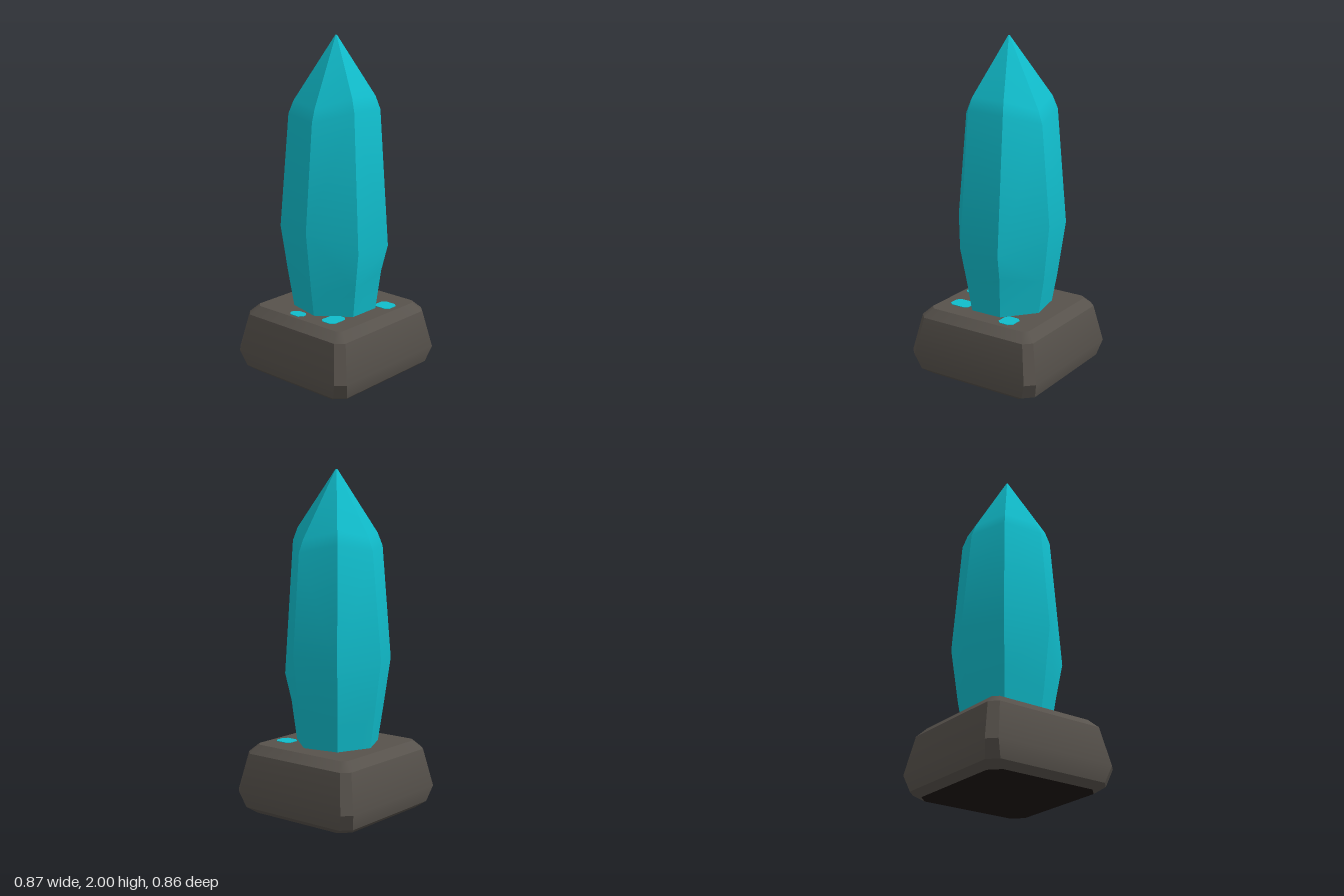
import * as THREE from 'three';
import { toCreasedNormals } from 'three/addons/utils/BufferGeometryUtils.js';

const teal = new THREE.MeshStandardMaterial({ name: 'crystal teal', color: 0x10bccb });
const stone = new THREE.MeshStandardMaterial({ name: 'dark stone', color: 0x57524c });
const shade = new THREE.MeshStandardMaterial({ name: 'underside black', color: 0x1c1513 });

// Skin rings of [x, y, z] (clockwise from above, bottom to top), with optional caps
function loft(rings, crease, capBottom, capTop) {
  const pos = [];
  const tri = (a, b, c) => pos.push(...a, ...b, ...c);
  const n = rings[0].length;
  for (let r = 0; r < rings.length - 1; r++) {
    for (let i = 0; i < n; i++) {
      const j = (i + 1) % n;
      const a = rings[r][i], b = rings[r][j], c = rings[r + 1][j], d = rings[r + 1][i];
      if ((i + r) % 2) { tri(a, c, b); tri(a, d, c); }
      else { tri(a, d, b); tri(b, d, c); }
    }
  }
  const top = rings[rings.length - 1];
  for (let i = 1; i < n - 1; i++) {
    if (capBottom) tri(rings[0][0], rings[0][i], rings[0][i + 1]);
    if (capTop) tri(top[0], top[i + 1], top[i]);
  }
  const geo = new THREE.BufferGeometry();
  geo.setAttribute('position', new THREE.Float32BufferAttribute(pos, 3));
  return toCreasedNormals(geo, crease);
}

function add(group, name, geo, mat) {
  const mesh = new THREE.Mesh(geo, mat);
  mesh.name = name;
  group.add(mesh);
  return mesh;
}

// Square ring with cut corners
function squareRing(hx, hz, cut, y) {
  return [[-hx + cut, -hz], [hx - cut, -hz], [hx, -hz + cut], [hx, hz - cut],
    [hx - cut, hz], [-hx + cut, hz], [-hx, hz - cut], [-hx, -hz + cut]]
    .map(([x, z]) => [x, y, z]);
}

export function createModel() {
  const model = new THREE.Group();
  model.name = 'crystalOnPlinth';

  // Plinth: bevelled block tapering upwards
  const profile = [[0.365, 0, 0.06], [0.41, 0.035, 0.055], [0.437, 0.13, 0.05],
    [0.39, 0.355, 0.045], [0.34, 0.405, 0.03]];
  const blocks = profile.map(([h, y, cut]) => squareRing(h, h - 0.007, cut, y));
  add(model, 'plinth', loft(blocks, 0.55, false, true), stone);
  const bottom = [squareRing(0.365, 0.358, 0.06, 0), squareRing(0.365, 0.358, 0.06, 0.001)];
  add(model, 'plinthUnderside', loft(bottom, 0.5, true, false), shade);

  // Crystal: irregular seven-sided column, widest at the waist
  const waist = [[0, 0.92, -0.325], [0.26, 0.9, -0.215], [0.315, 0.95, 0.06],
    [0.12, 0.8, 0.295], [-0.14, 0.8, 0.295], [-0.32, 0.92, 0.06], [-0.25, 0.9, -0.21]];
  const shoulder = [[0, 1.54, -0.262], [0.215, 1.58, -0.18], [0.262, 1.53, 0.06],
    [0.115, 1.59, 0.232], [-0.115, 1.6, 0.238], [-0.26, 1.54, 0.055], [-0.21, 1.56, -0.175]];
  const wobble = [0.02, -0.03, 0.01, 0.04, -0.02, -0.04, 0.03];
  const foot = waist.map(([x, , z]) => [x * 0.755, 0.39, z * 0.77]);
  const shin = waist.map(([x, , z], i) => [x * (0.87 + wobble[i] * 0.6), 0.6 + wobble[i], z * 0.87]);
  const bevel = shoulder.map(([x, y, z]) => [x * 0.89, y + 0.075, z * 0.89]);
  const tip = shoulder.map(([x, , z]) => [x * 0.02, 1.998, z * 0.02]);
  add(model, 'crystal', loft([foot, shin, waist, shoulder, bevel, tip], 0.36, true, true), teal);

  // Flat splinters showing around the foot: x, z, half width, half depth
  const splinters = [[0.165, 0.245, 0.05, 0.055], [-0.215, 0.175, 0.065, 0.05], [-0.285, -0.04, 0.035, 0.05]];
  splinters.forEach(([x, z, w, d], k) => {
    const ring = (y) => squareRing(w, d, 0.022, y).map(([px, py, pz]) => [px + x, py, pz + z]);
    add(model, 'splinter' + (k + 1), loft([ring(0.4), ring(0.408)], 0.4, false, true), teal);
  });

  return model;
}
